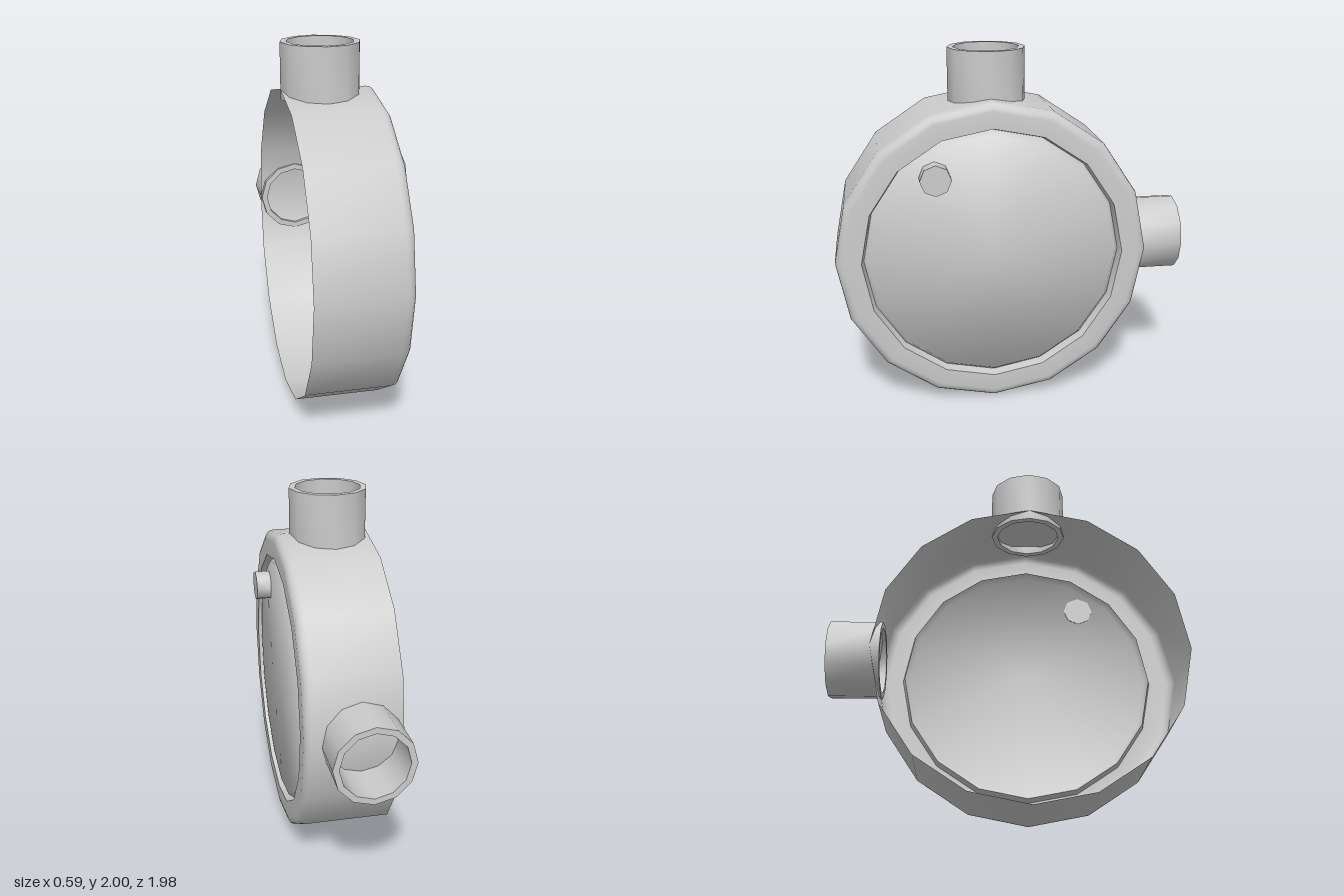
import * as THREE from 'three';
import { toCreasedNormals } from 'three/addons/utils/BufferGeometryUtils.js';

const CENTRE_Y = 0.875;
const CENTRE_Z = 0.118;
const PIPE_X = -0.077;

const material = new THREE.MeshStandardMaterial({ color: 0xcccccc, side: THREE.DoubleSide });

// Revolves [radius, height] pairs around y, keeping edges sharper than the crease angle
function revolve(name, profile, sides, crease) {
  const points = profile.map(([r, h]) => new THREE.Vector2(r, h));
  const geometry = toCreasedNormals(new THREE.LatheGeometry(points, sides), crease);
  const mesh = new THREE.Mesh(geometry, material);
  mesh.name = name;
  return mesh;
}

// Hollow pipe stub reaching from the drum wall to the given distance
function makePipe(name, start, end) {
  const outer = 0.216, inner = 0.182;
  return revolve(name, [
    [inner, start], [outer, start], [outer, end], [inner, end], [inner, start],
  ], 12, 0.6);
}

export function createModel() {
  const model = new THREE.Group();
  model.name = 'junctionBox';

  // Drum shell, open at the back, with a rounded front rim and an inset lip
  const radius = 0.874, front = 0.225, fillet = 0.05;
  const shellProfile = [[radius, -0.293]];
  for (let i = 0; i <= 4; i++) {
    const a = (i / 4) * Math.PI / 2;
    shellProfile.push([
      radius - fillet * (1 - Math.cos(a)), front - fillet * (1 - Math.sin(a)),
    ]);
  }
  shellProfile.push([0.73, front], [0.717, 0.17]);
  const shell = revolve('drumShell', shellProfile, 16, 0.7);

  // Cover inside the lip, with a softly shaded bevelled edge
  const cover = revolve('cover', [
    [0.717, 0.17], [0.692, 0.208], [0, 0.218],
  ], 16, 1.2);

  for (const part of [shell, cover]) {
    part.rotation.z = -Math.PI / 2;
    part.position.set(0, CENTRE_Y, CENTRE_Z);
    model.add(part);
  }

  // Pipe stubs at the top and the rear side
  const topPipe = makePipe('topPipe', 0.82, 2 - CENTRE_Y);
  topPipe.position.set(PIPE_X, CENTRE_Y, CENTRE_Z);

  const sidePipe = makePipe('sidePipe', 0.82, 0.992 + CENTRE_Z);
  sidePipe.rotation.x = -Math.PI / 2;
  sidePipe.position.set(PIPE_X, CENTRE_Y, CENTRE_Z);
  model.add(topPipe, sidePipe);

  // Small octagonal knob on the cover
  const knob = new THREE.Mesh(
    toCreasedNormals(new THREE.CylinderGeometry(0.086, 0.086, 0.085, 8), 0.9), material);
  knob.name = 'knob';
  knob.rotation.z = -Math.PI / 2;
  knob.position.set(0.25, 1.35, 0.436);
  model.add(knob);

  return model;
}
